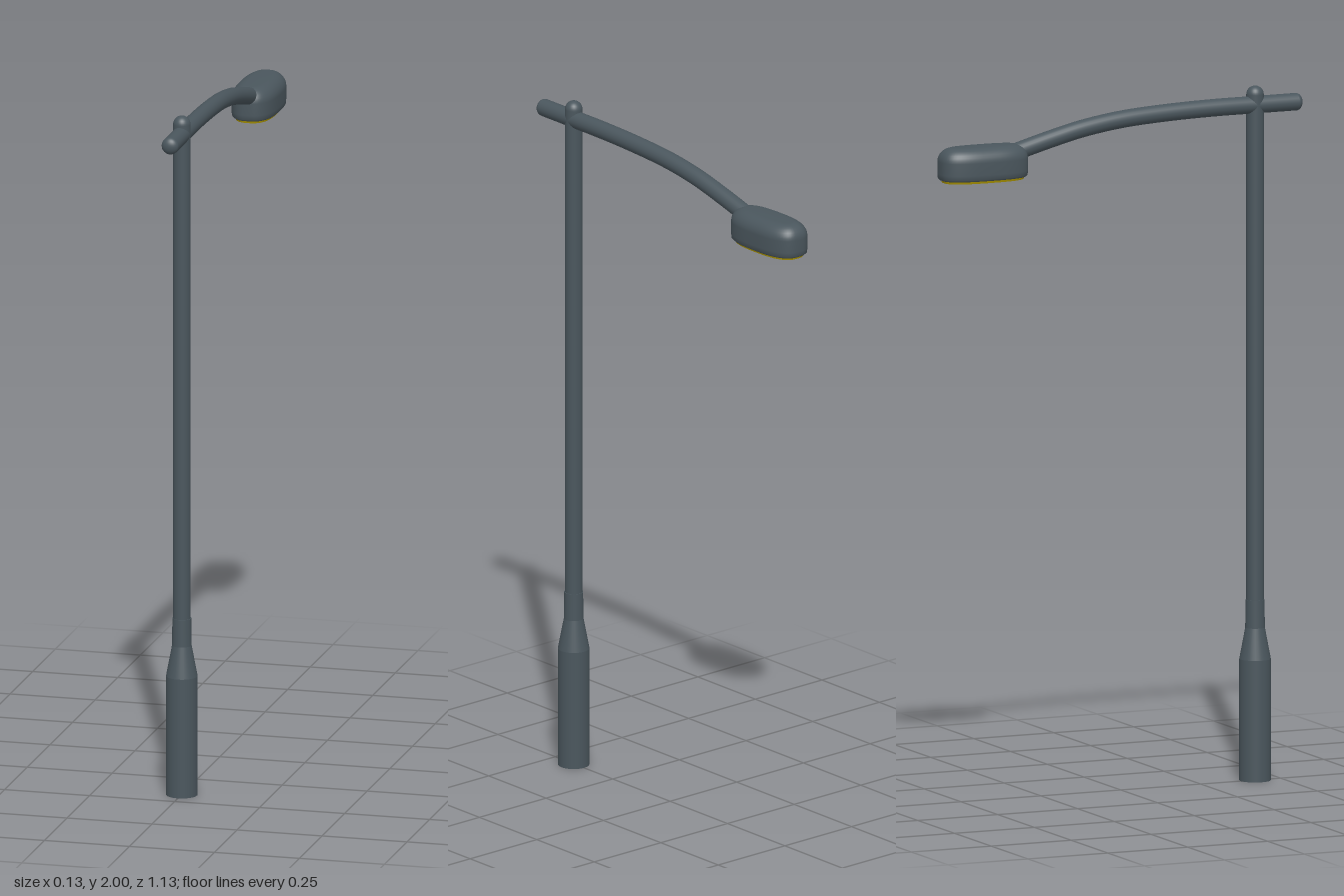
import * as THREE from 'three';

const POLE_Z = 0.42, LAMP_Z = -0.432;
const metal = new THREE.MeshStandardMaterial({ color: 0x4a565d });
const yellow = new THREE.MeshStandardMaterial({ color: 0xa89200 });

function add(parent, name, geometry, material = metal) {
  const mesh = new THREE.Mesh(geometry, material);
  mesh.name = name;
  parent.add(mesh);
  return mesh;
}

// Stacks rounded-oblong rings given as [height, half width, half length].
// A repeated ring makes a sharp edge.
function loft(rings, sides = 56) {
  const power = 2 / 2.7, pos = [], index = [];
  const bend = (v) => Math.sign(v) * Math.abs(v) ** power;
  rings.forEach(([y, w, l], r) => {
    const prev = rings[r - 1];
    const joined = prev && prev.some((v, k) => v !== rings[r][k]);
    for (let i = 0; i < sides; i++) {
      const t = (i / sides) * Math.PI * 2;
      pos.push(w * bend(Math.cos(t)), y, l * bend(Math.sin(t)));
      if (!joined) continue;
      const b = r * sides + i, bn = r * sides + (i + 1) % sides;
      const a = b - sides, an = bn - sides;
      index.push(a, b, an, an, b, bn);
    }
  });
  const g = new THREE.BufferGeometry();
  g.setAttribute('position', new THREE.Float32BufferAttribute(pos, 3));
  g.setIndex(index);
  g.computeVertexNormals();
  return g;
}

export function createModel() {
  const model = new THREE.Group();
  model.name = 'streetLamp';

  // Pole: wide base, tapered shoulder, sleeve, shaft and domed tip
  const pole = new THREE.Group();
  pole.name = 'pole';
  pole.position.z = POLE_Z;
  model.add(pole);
  const tube = (name, r0, r1, y0, y1) => {
    add(pole, name, new THREE.CylinderGeometry(r1, r0, y1 - y0, 32)).position.y = (y0 + y1) / 2;
  };
  tube('base', 0.045, 0.045, 0, 0.35);
  tube('shoulder', 0.045, 0.028, 0.35, 0.44);
  tube('sleeve', 0.028, 0.027, 0.44, 0.52);
  tube('shaft', 0.025, 0.025, 0.52, 1.975);
  add(pole, 'poleTip', new THREE.SphereGeometry(0.025, 32, 16)).position.y = 1.975;

  // Arm: level at the pole, drooping towards the lamp
  const path = new THREE.CatmullRomCurve3([
    [1.945, 0.548], [1.945, 0.42], [1.945, 0.3], [1.941, 0.15], [1.931, 0],
    [1.913, -0.12], [1.892, -0.21], [1.868, -0.3], [1.851, -0.36],
  ].map(([y, z]) => new THREE.Vector3(0, y, z)));
  add(model, 'arm', new THREE.TubeGeometry(path, 48, 0.025, 24));
  for (const [name, t] of [['armRearCap', 0], ['armFrontCap', 1]]) {
    const cap = add(model, name, new THREE.SphereGeometry(0.025, 24, 16));
    cap.position.copy(path.getPoint(t));
    cap.scale.z = 0.7;
  }

  // Lamp head: softly rounded shell with a flat underside and a lens
  const head = new THREE.Group();
  head.name = 'lampHead';
  head.position.z = LAMP_Z;
  model.add(head);
  const W = 0.066, L = 0.134;
  const ring = (y, inset) => [y, W - inset, L - inset];
  const shell = [[1.792, 0, 0], ring(1.792, 0.006), ring(1.792, 0.006), ring(1.797, 0.001), ring(1.81, 0)];
  for (let i = 0; i <= 8; i++) {
    const a = (i / 8) * Math.PI / 2;
    shell.push(ring(1.845 + 0.04 * Math.sin(a), 0.042 * (1 - Math.cos(a))));
  }
  shell.push([1.886, 0, 0]);
  add(head, 'shell', loft(shell));
  add(head, 'lens', loft([
    [1.785, 0, 0], ring(1.785, 0.012), ring(1.785, 0.012), ring(1.794, 0.01),
  ]), yellow);

  return model;
}
